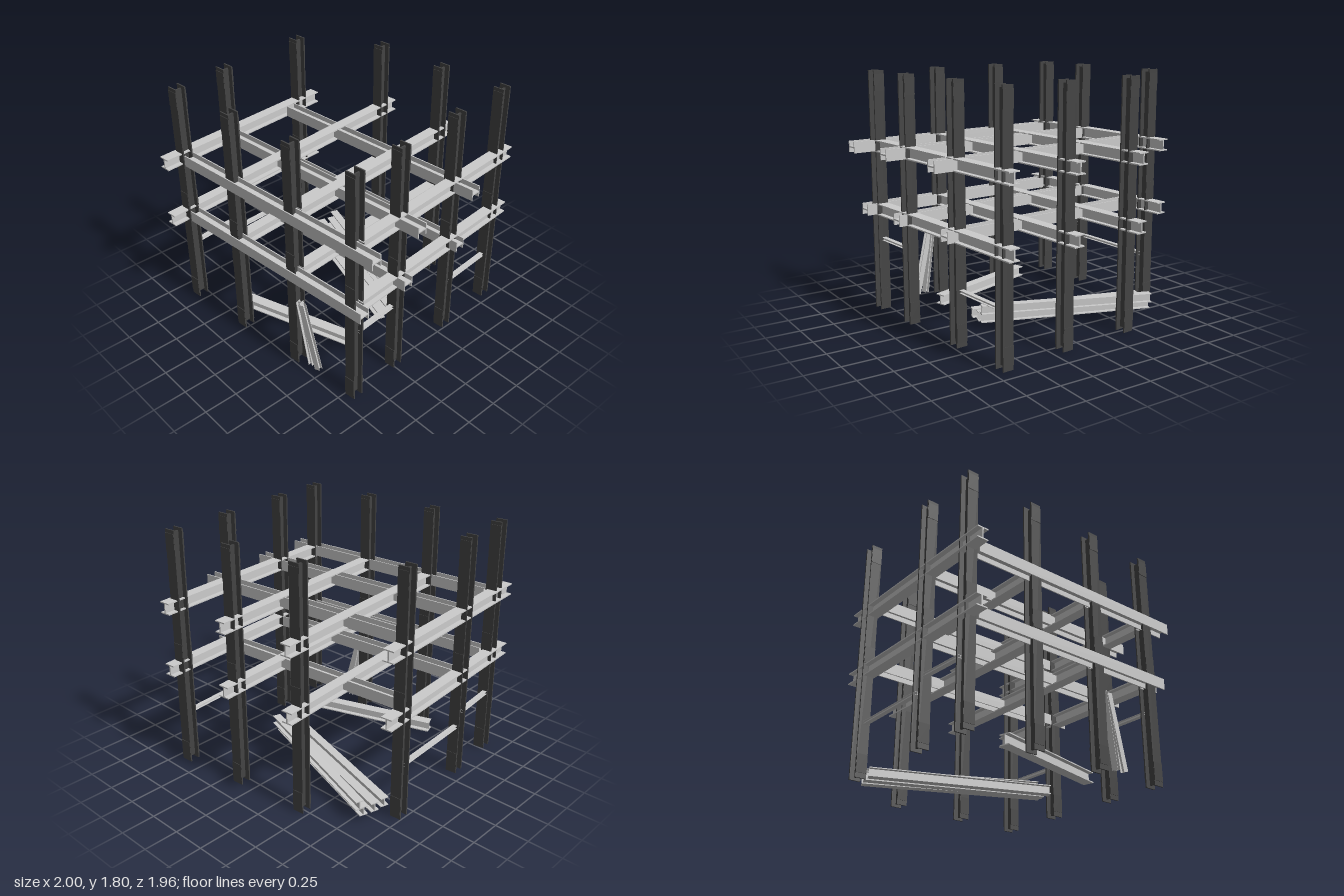
import * as THREE from 'three';

const STEEL = new THREE.MeshStandardMaterial({ color: 0xcccccc });
const DARK = new THREE.MeshStandardMaterial({ color: 0x444444 });
const YAW = 0.08; // the whole grid is turned slightly

// I-shaped outline: flanges at top and bottom, web upright
function iSection(w, h, tf, tw) {
  const a = w / 2, b = h / 2, c = b - tf, d = tw / 2;
  const pts = [[-a, -b], [a, -b], [a, -c], [d, -c], [d, c], [a, c],
    [a, b], [-a, b], [-a, c], [-d, c], [-d, -c], [-a, -c]];
  return new THREE.Shape(pts.map(([x, y]) => new THREE.Vector2(x, y)));
}

// Rolled beam running from p to q
function beam(name, p, q, w, h, roll = 0) {
  const a = new THREE.Vector3(...p), b = new THREE.Vector3(...q);
  const len = a.distanceTo(b);
  const geo = new THREE.ExtrudeGeometry(iSection(w, h, h * 0.1, w * 0.12),
    { depth: len, bevelEnabled: false });
  geo.translate(0, 0, -len / 2);
  geo.rotateZ(roll);
  const mesh = new THREE.Mesh(geo, STEEL);
  mesh.name = name;
  mesh.position.copy(a).add(b).multiplyScalar(0.5);
  mesh.lookAt(b);
  return mesh;
}

function box(name, w, h, d, x, y, z) {
  const mesh = new THREE.Mesh(new THREE.BoxGeometry(w, h, d), DARK);
  mesh.name = name;
  mesh.position.set(x, y, z);
  return mesh;
}

// Upright: two tall flanges, a slightly shorter web and splice plates
function column(x, z) {
  const g = new THREE.Group();
  g.name = 'column';
  g.add(box('columnWeb', 0.012, 1.76, 0.066, 0, 0.9, 0));
  for (const s of [-1, 1]) {
    g.add(box('columnFlange', 0.083, 1.8, 0.01, 0, 0.9, s * 0.037));
    for (const [y, h] of [[0.1, 0.13], [0.895, 0.13], [1.715, 0.12]]) {
      g.add(box('splicePlate', 0.081, h, 0.004, 0, y, s * 0.0435));
    }
  }
  g.position.set(x, 0, z);
  g.rotation.y = YAW;
  return g;
}

export function createModel() {
  const model = new THREE.Group();
  model.name = 'steelFrame';

  // Columns
  const columns = [[-0.95, -0.35], [-0.89, 0.37], [-0.84, 0.80], [-0.425, -0.75],
    [-0.30, 0.75], [0.14, -0.80], [0.26, 0.695], [0.65, -0.855],
    [0.695, -0.35], [0.755, 0.225], [0.79, 0.64]];
  for (const [x, z] of columns) model.add(column(x, z));

  // Two floors of crossing beams; the lower cross beams stop shorter
  const longBeams = [[-0.957, -0.52, -0.84, 0.97], [-0.44, -0.89, -0.30, 0.71],
    [0.125, -0.935, 0.26, 0.665], [0.655, -0.98, 0.79, 0.615]];
  const crossBeams = [[-0.89, -0.22, 0.89, -0.37], [-0.855, 0.365, 0.95, 0.21],
    [-0.78, 0.80, 0.995, 0.65]];
  for (const [y, cut] of [[0.778, 0.09], [1.253, 0]]) {
    for (const [x1, z1, x2, z2] of longBeams) {
      model.add(beam('longBeam', [x1, y, z1], [x2, y, z2], 0.082, 0.087));
    }
    for (const [x1, z1, x2, z2] of crossBeams) {
      model.add(beam('crossBeam', [x1, y, z1], [x2 - cut, y, z2 + cut * YAW],
        0.083, 0.083, Math.PI / 2));
    }
  }

  // Thin rails between neighbouring columns
  const rails = [[-0.945, -0.32, -0.905, 0.34, 0.385], [-0.898, 0.40, -0.86, 0.77, 0.48],
    [0.758, 0.26, 0.787, 0.61, 0.55], [0.655, -0.82, 0.692, -0.38, 0.395]];
  for (const [x1, z1, x2, z2, y] of rails) {
    model.add(beam('rail', [x1, y, z1], [x2, y, z2], 0.035, 0.022));
  }

  // Loose beam on the ground
  model.add(beam('looseBeam', [-0.455, 0.082, 0.645], [0.46, 0.082, 0.34], 0.078, 0.078));

  // Pile of beams: three side by side and one on top
  const pile = [[-0.82, 0.075, -0.56, 0.40, 0.078, -0.15],
    [-0.845, 0.075, -0.475, 0.395, 0.075, -0.10],
    [-0.855, 0.075, -0.385, 0.39, 0.072, -0.01],
    [-0.81, 0.13, -0.59, 0.415, 0.15, -0.185]];
  for (const [x1, y1, z1, x2, y2, z2] of pile) {
    model.add(beam('pileBeam', [x1, y1, z1], [x2, y2, z2], 0.062, 0.066));
  }

  // Pair of short beams leaning on a column
  model.add(beam('leaningBeam', [0.405, 0.035, 0.69], [0.32, 0.57, 0.715], 0.045, 0.032));
  model.add(beam('leaningBeam', [0.475, 0.035, 0.69], [0.345, 0.56, 0.715], 0.045, 0.032, Math.PI / 2));

  return model;
}
